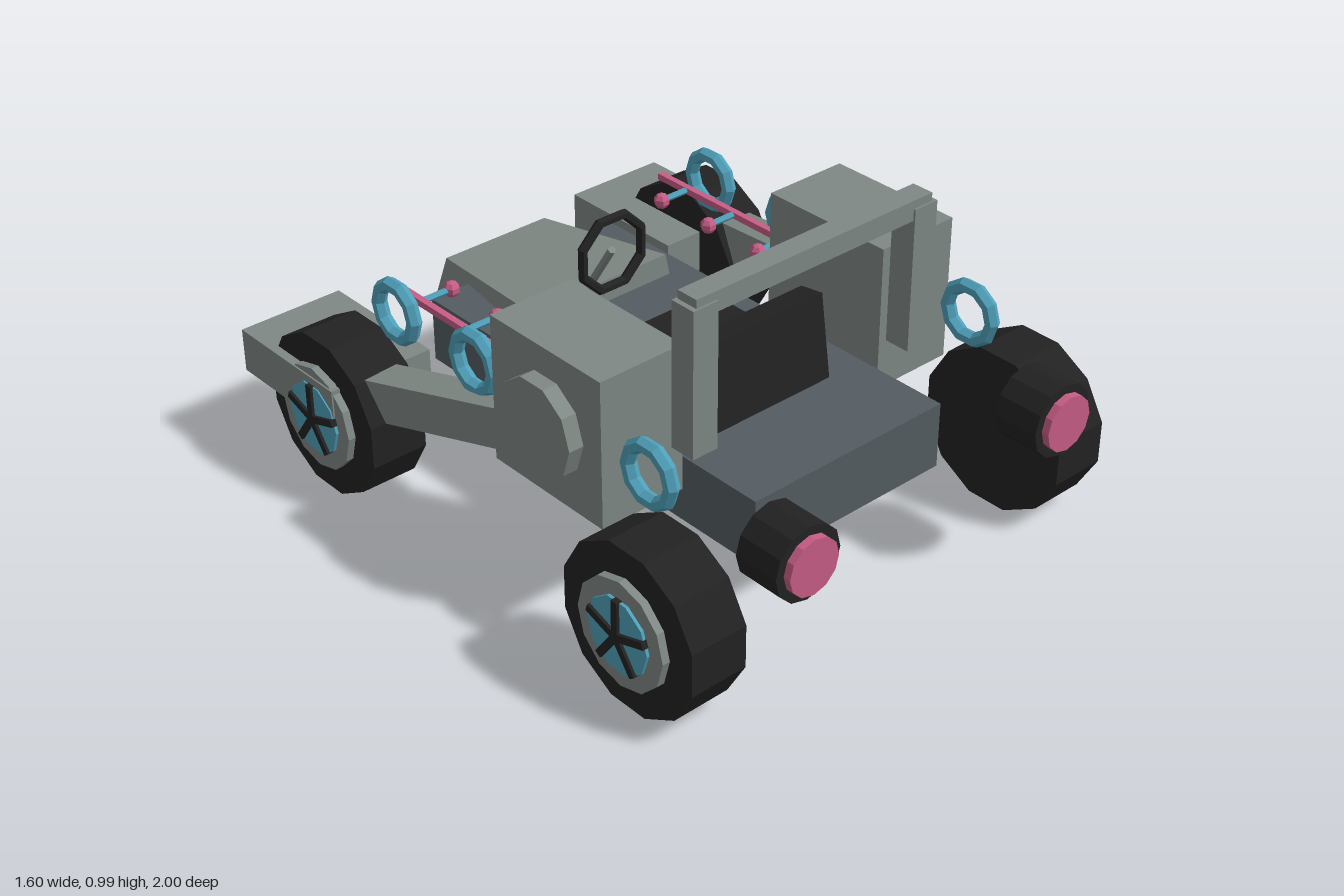
import * as THREE from 'three';

const mat = (name, color) => {
  const m = new THREE.MeshStandardMaterial({ color, flatShading: true });
  m.name = name;
  return m;
};

export function createModel() {
  const grey = mat('panel grey', 0x7f8884);
  const slate = mat('hull slate', 0x545c62);
  const black = mat('rubber black', 0x222222);
  const blue = mat('ring blue', 0x4fa0ba);
  const pink = mat('light pink', 0xc75d85);

  const model = new THREE.Group();
  model.name = 'buggy';

  const add = (parent, name, geo, material, x = 0, y = 0, z = 0) => {
    const mesh = new THREE.Mesh(geo, material);
    mesh.name = name;
    mesh.position.set(x, y, z);
    parent.add(mesh);
    return mesh;
  };
  // Box given by its limits on each axis
  const box = (parent, name, material, [x0, x1], [y0, y1], [z0, z1]) =>
    add(parent, name, new THREE.BoxGeometry(x1 - x0, y1 - y0, z1 - z0), material,
      (x0 + x1) / 2, (y0 + y1) / 2, (z0 + z1) / 2);
  // Cylinder lying along x, from x0 to x1
  const disc = (parent, name, material, r, x0, x1, y, z, sides, turn = 0) =>
    add(parent, name, new THREE.CylinderGeometry(r, r, x1 - x0, sides).rotateY(turn).rotateZ(Math.PI / 2),
      material, (x0 + x1) / 2, y, z);
  // Turn a mesh built along z so that it spans two points
  const span = (mesh, a, b) => {
    mesh.position.copy(a).add(b).multiplyScalar(0.5);
    mesh.lookAt(b);
    return mesh;
  };

  // Hull
  box(model, 'hull', slate, [-0.34, 0.34], [0.245, 0.445], [-0.685, 0.665]);

  // Tapered hood: reshape a box, narrower and lower toward the tail
  const hoodGeo = new THREE.BoxGeometry(1, 1, 1);
  const p = hoodGeo.attributes.position;
  for (let i = 0; i < p.count; i++) {
    const top = p.getY(i) > 0, tail = p.getZ(i) < 0, side = Math.sign(p.getX(i));
    const w = tail ? (top ? 0.185 : 0.205) : (top ? 0.25 : 0.275);
    const y = tail ? (top ? 0.465 : 0.33) : (top ? 0.515 : 0.40);
    const z = tail ? (top ? -0.82 : -0.855) : -0.34;
    p.setXYZ(i, side * w, y, z);
  }
  hoodGeo.computeVertexNormals();
  add(model, 'hood', hoodGeo, grey);

  // Seat with a backrest leaning over the cushion
  box(model, 'seatCushion', black, [-0.205, 0.205], [0.445, 0.51], [-0.10, 0.33]);
  const back = new THREE.Group();
  back.name = 'seatBack';
  back.position.set(0, 0.445, 0.34);
  back.rotation.x = -0.15;
  box(back, 'backrest', black, [-0.205, 0.205], [0, 0.252], [-0.04, 0.04]);
  box(back, 'backrestPad', slate, [-0.16, 0.16], [0.07, 0.235], [-0.049, -0.04]);
  model.add(back);

  // Steering wheel and column
  add(model, 'steeringWheel', new THREE.TorusGeometry(0.115, 0.015, 6, 8).rotateZ(Math.PI / 8),
    black, 0, 0.64, -0.283);
  span(add(model, 'steeringColumn', new THREE.CylinderGeometry(0.013, 0.013, 0.19, 6).rotateX(Math.PI / 2), grey),
    new THREE.Vector3(0, 0.645, -0.285), new THREE.Vector3(0, 0.49, -0.385));

  // Roll bar crosspiece
  box(model, 'rollBarTop', grey, [-0.415, 0.415], [0.94, 1.0], [0.456, 0.524]);

  // Parts repeated on both sides; built for +x and turned by side s
  for (const s of [1, -1]) {
    const X = (a, b) => (s > 0 ? [a, b] : [-b, -a]);
    const side = new THREE.Group();
    side.name = s > 0 ? 'leftSide' : 'rightSide';
    model.add(side);
    const sideDisc = (parent, name, m, r, a, b, y, z, sides, turn) =>
      disc(parent, name, m, r, ...X(a, b), y, z, sides, turn);

    box(side, 'rollBarPost', grey, X(0.347, 0.43), [0.543, 0.975], [0.45, 0.53]);
    box(side, 'sidePod', grey, X(0.36, 0.63), [0.363, 0.803], [-0.021, 0.413]);
    sideDisc(side, 'podCap', grey, 0.144, 0.62, 0.676, 0.583, 0.2, 10);
    box(side, 'rearFender', grey, X(0.45, 0.785), [0.245, 0.38], [-1, -0.555]);

    // Arm from pod to rear wheel
    const a = new THREE.Vector3(s * 0.56, 0.465, 0.03), b = new THREE.Vector3(s * 0.685, 0.345, -0.58);
    span(add(side, 'rearArm', new THREE.BoxGeometry(0.11, 0.125, a.distanceTo(b)), grey), a, b);

    // Head lamp
    add(side, 'lampBody', new THREE.CylinderGeometry(0.108, 0.108, 0.138, 12).rotateX(Math.PI / 2),
      black, s * 0.464, 0.49, 0.909);
    add(side, 'lampLens', new THREE.CylinderGeometry(0.082, 0.082, 0.04, 12).rotateX(Math.PI / 2),
      pink, s * 0.464, 0.49, 0.98);

    // Wheels: tyre, rim, hub disc and five spokes
    for (const z of [0.65, -0.655]) {
      const wheel = new THREE.Group();
      wheel.name = z > 0 ? 'frontWheel' : 'rearWheel';
      wheel.position.set(0, 0.248, z);
      side.add(wheel);
      sideDisc(wheel, 'tyre', black, 0.248, 0.58, 0.757, 0, 0, 12, Math.PI / 12);
      sideDisc(wheel, 'rim', grey, 0.16, 0.74, 0.78, 0, 0, 12);
      sideDisc(wheel, 'hubDisc', blue, 0.112, 0.76, 0.789, 0, 0, 10);
      for (let i = 0; i < 5; i++) {
        const spoke = add(wheel, 'spoke', new THREE.BoxGeometry(0.02, 0.11, 0.022).translate(0, 0.055, 0),
          black, s * 0.788);
        spoke.rotation.x = (i * Math.PI * 2) / 5;
      }
    }

    // Blue rings facing sideways
    for (const z of [0.54, -0.16, -0.51])
      add(side, 'ring', new THREE.TorusGeometry(0.081, 0.022, 6, 10).rotateY(Math.PI / 2),
        blue, s * 0.582, 0.577, z);

    // Rail with stems and knobs
    box(side, 'rail', pink, X(0.485, 0.505), [0.562, 0.582], [-0.64, -0.02]);
    for (const z of [-0.1, -0.31, -0.515]) {
      sideDisc(side, 'stem', blue, 0.01, 0.39, 0.49, 0.572, z, 6);
      add(side, 'knob', new THREE.SphereGeometry(0.025, 6, 5), pink, s * 0.39, 0.572, z);
    }
  }
  return model;
}
